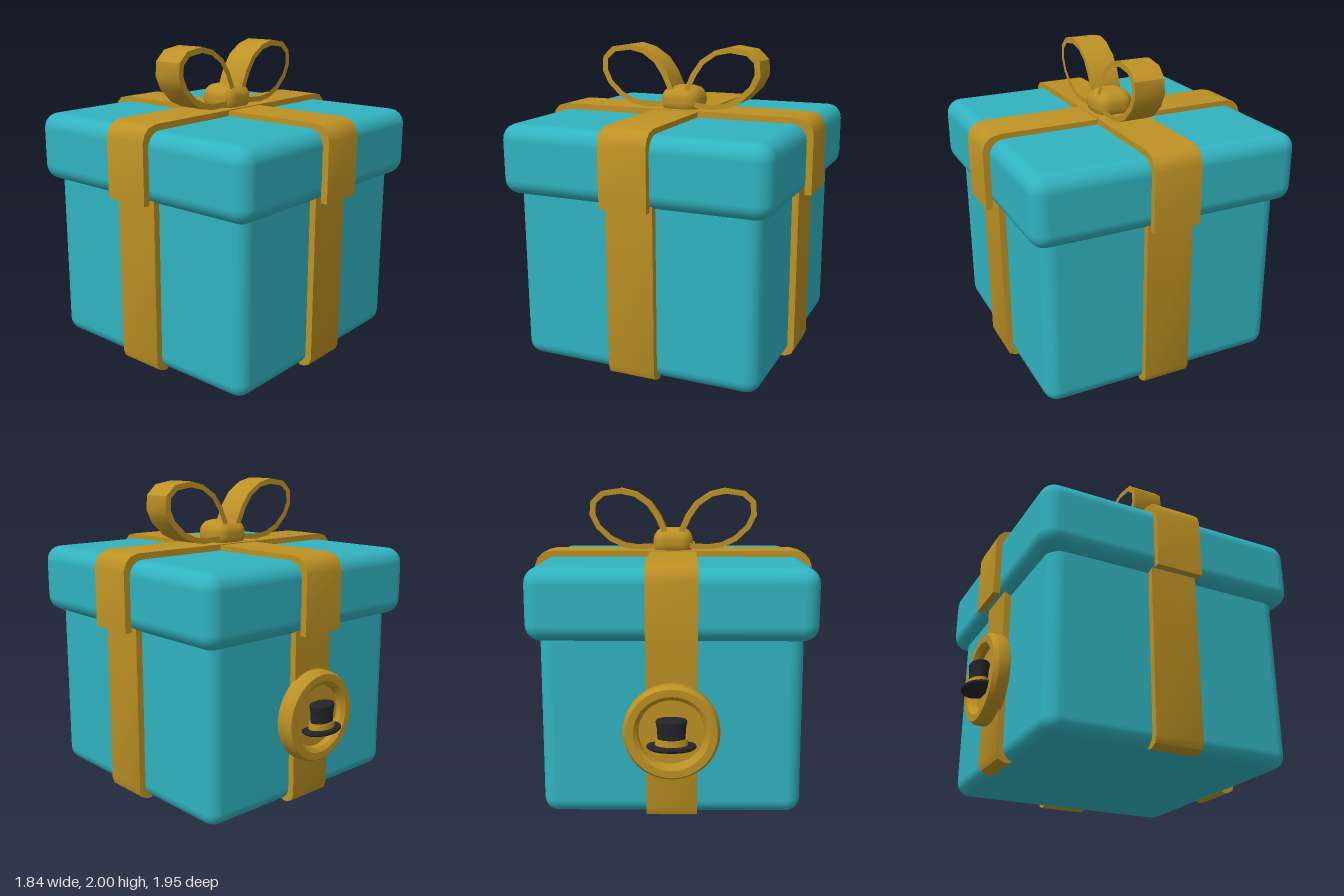
import * as THREE from 'three';
import { toCreasedNormals } from 'three/addons/utils/BufferGeometryUtils.js';
import { RoundedBoxGeometry } from 'three/addons/geometries/RoundedBoxGeometry.js';

const paint = (name, color) => {
  const m = new THREE.MeshStandardMaterial({ color });
  m.name = name;
  return m;
};

export function createModel() {
  const teal = paint('teal', 0x31b3c0);
  const gold = paint('gold', 0xbd9124);
  const black = paint('black', 0x242529);

  const model = new THREE.Group();
  model.name = 'giftBox';
  const gift = new THREE.Group();
  gift.name = 'gift';
  gift.position.z = 0.055;
  model.add(gift);

  const add = (parent, name, geometry, material, x = 0, y = 0, z = 0) => {
    const mesh = new THREE.Mesh(geometry, material);
    mesh.name = name;
    mesh.position.set(x, y, z);
    parent.add(mesh);
    return mesh;
  };
  const outline = (pts) => pts.map(([x, y]) => new THREE.Vector2(x, y));
  // Flat outline extruded to a band centred on z
  const band = (pts, width, hole) => {
    const shape = new THREE.Shape(outline(pts));
    if (hole) shape.holes.push(new THREE.Path(outline(hole)));
    const g = new THREE.ExtrudeGeometry(shape, { depth: width, bevelEnabled: false });
    g.translate(0, 0, -width / 2);
    return toCreasedNormals(g, 0.7);
  };

  // Box and lid
  add(gift, 'body', new RoundedBoxGeometry(1.6, 1.2, 1.6, 3, 0.09), teal, 0, 0.607, 0);
  add(gift, 'lid', new RoundedBoxGeometry(1.76, 0.445, 1.76, 3, 0.1), teal, 0, 1.328, 0);

  // Ribbon over the lid, in both directions
  const half = [[0.922, 1.11], [0.922, 1.49], [0.905, 1.54], [0.87, 1.575], [0.81, 1.59]];
  const inner = [[0.77, 1.545], [0.83, 1.535], [0.865, 1.5], [0.875, 1.45], [0.878, 1.11]];
  const flip = (pts) => pts.map(([x, y]) => [-x, y]).reverse();
  const lidBand = band([...half, ...flip(half), ...flip(inner), ...inner], 0.31);
  add(gift, 'lidRibbonAcross', lidBand, gold);
  add(gift, 'lidRibbonFrontToBack', lidBand, gold, 0, -0.006, 0).rotation.y = Math.PI / 2;

  // Ribbon down each side of the body
  const sideBand = band([[0.78, 1.14], [0.78, 0.06], [0.74, 0.012], [0.76, 0], [0.79, 0.003],
    [0.828, 0.022], [0.843, 0.065], [0.843, 1.14]], 0.31);
  ['left', 'back', 'right', 'front'].forEach((side, i) => {
    add(gift, side + 'BodyRibbon', sideBand, gold).rotation.y = i * Math.PI / 2;
  });

  // Bow loops and knot
  const loopOuter = [[0.05, 1.62], [0.04, 1.72], [0.085, 1.82], [0.15, 1.91], [0.25, 1.975], [0.35, 2],
    [0.48, 1.98], [0.55, 1.915], [0.557, 1.82], [0.515, 1.735], [0.425, 1.65], [0.33, 1.608],
    [0.24, 1.595], [0.13, 1.6]];
  const loopInner = [[0.08, 1.64], [0.08, 1.72], [0.12, 1.805], [0.175, 1.885], [0.26, 1.943], [0.35, 1.962],
    [0.46, 1.947], [0.513, 1.9], [0.518, 1.83], [0.485, 1.757], [0.405, 1.683], [0.32, 1.643],
    [0.24, 1.63], [0.13, 1.635]];
  add(gift, 'leftBowLoop', band(loopOuter, 0.2, loopInner), gold);
  add(gift, 'rightBowLoop', band(flip(loopOuter), 0.2, flip(loopInner)), gold);
  add(gift, 'bowKnot', new RoundedBoxGeometry(0.27, 0.19, 0.26, 2, 0.085), gold, 0, 1.64, 0);

  // Round badge on the back, a dished disc with a raised rim
  const badge = new THREE.Group();
  badge.name = 'badge';
  badge.position.set(0, 0.568, -0.78);
  model.add(badge);
  const dish = new THREE.LatheGeometry(outline([[0, -0.01], [0.285, -0.01], [0.293, 0.01], [0.293, 0.065],
    [0.275, 0.095], [0.23, 0.095], [0.205, 0.075], [0.2, 0.04], [0, 0.04]]), 32);
  add(badge, 'badgeDisc', toCreasedNormals(dish, 0.5), gold).rotation.x = -Math.PI / 2;

  // Top hat set into the dish
  const hat = new THREE.Group();
  hat.name = 'topHat';
  hat.position.set(0, -0.09, -0.095);
  hat.scale.z = 0.65;
  badge.add(hat);
  add(hat, 'hatBrim', toCreasedNormals(new THREE.LatheGeometry(outline([[0, 0], [0.135, 0],
    [0.15, 0.012], [0.147, 0.025], [0.13, 0.028], [0, 0.028]]), 24), 0.6), black);
  add(hat, 'hatBand', new THREE.CylinderGeometry(0.097, 0.1, 0.04, 24), gold, 0, 0.046, 0);
  add(hat, 'hatCrown', toCreasedNormals(new THREE.LatheGeometry(outline([[0.09, 0.02], [0.084, 0.08],
    [0.087, 0.13], [0.095, 0.172], [0.088, 0.182], [0, 0.182]]), 24), 0.6), black);

  return model;
}
